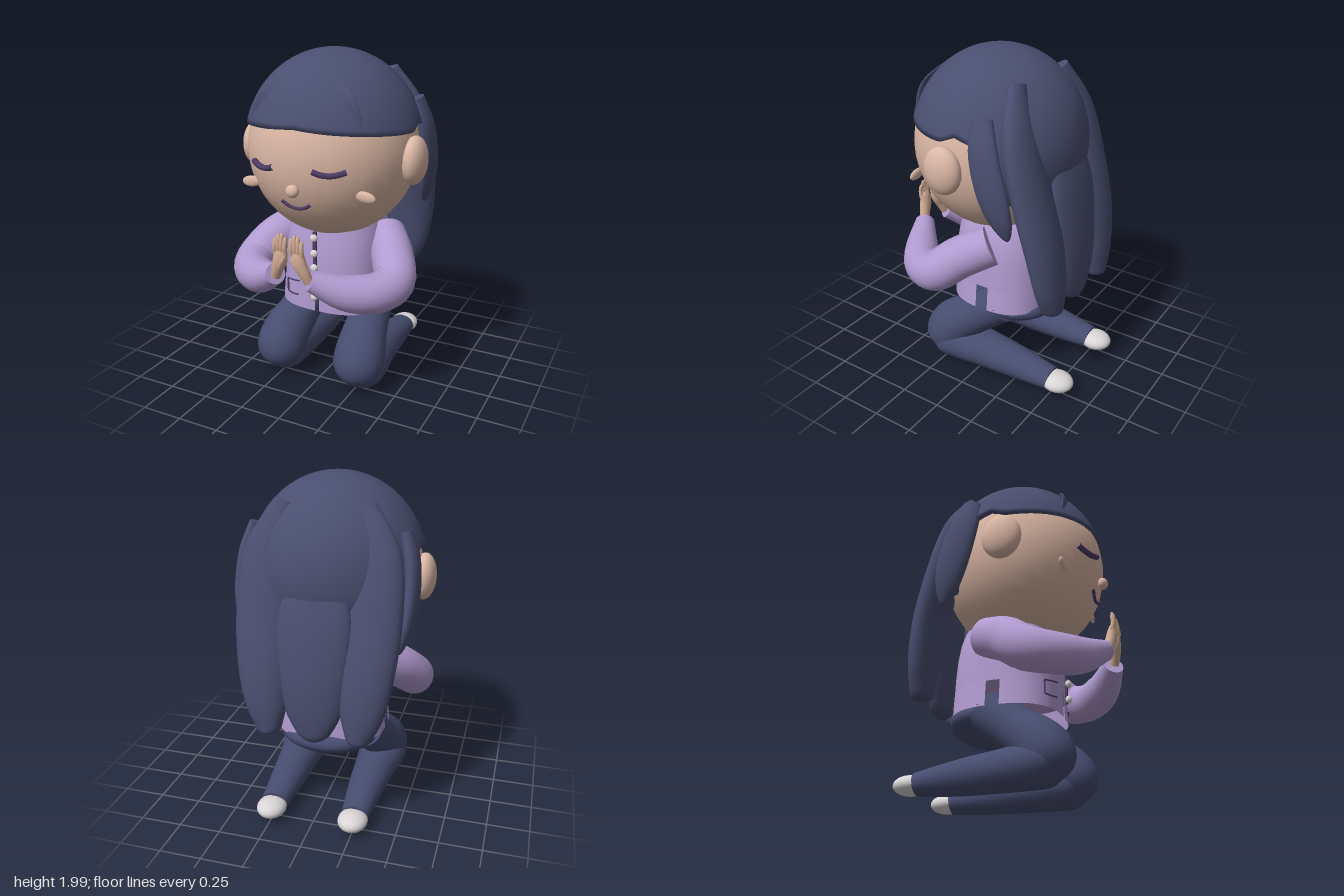
import * as THREE from 'three';

const mat = (name, color, side = THREE.FrontSide) => {
  const m = new THREE.MeshStandardMaterial({ color, side });
  m.name = name;
  return m;
};
const V = (x, y, z) => new THREE.Vector3(x, y, z);

// Skin a list of rings (arrays of Vector3, counter-clockwise about the path).
function skin(rings, { closed = true, capStart = false, capEnd = false } = {}) {
  const n = rings[0].length, pos = [], idx = [];
  rings.forEach(r => r.forEach(p => pos.push(p.x, p.y, p.z)));
  for (let i = 0; i < rings.length - 1; i++) {
    for (let k = 0; k < (closed ? n : n - 1); k++) {
      const a = i * n + k, b = i * n + (k + 1) % n;
      idx.push(a, b, a + n, b, b + n, a + n);
    }
  }
  const cap = (ring, flip) => {
    const base = pos.length / 3, c = V(0, 0, 0);
    ring.forEach(p => { pos.push(p.x, p.y, p.z); c.addScaledVector(p, 1 / n); });
    pos.push(c.x, c.y, c.z);
    for (let k = 0; k < n; k++) {
      const a = base + k, b = base + (k + 1) % n;
      idx.push(base + n, flip ? b : a, flip ? a : b);
    }
  };
  if (capStart) cap(rings[0], true);
  if (capEnd) cap(rings[rings.length - 1], false);
  const g = new THREE.BufferGeometry();
  g.setAttribute('position', new THREE.Float32BufferAttribute(pos, 3));
  g.setIndex(idx);
  g.computeVertexNormals();
  return g;
}

// Tapered limb: points [x, y, z], radii [side, up]; ends can be rounded off.
function limb(points, radii, { ref = V(1, 0, 0), start = 0, end = 0, steps = 32, sides = 24 } = {}) {
  const path = new THREE.CatmullRomCurve3(points.map(p => V(...p)));
  const size = new THREE.CatmullRomCurve3(radii.map((r, i) => V(r[0], r[1], i)));
  const rings = [];
  for (let i = 0; i <= steps; i++) {
    const t = (1 - Math.cos(Math.PI * i / steps)) / 2;
    const c = path.getPoint(t), r = size.getPoint(t), T = path.getTangent(t);
    const side = ref.clone().addScaledVector(T, -ref.dot(T)).normalize();
    const up = T.clone().cross(side);
    let k = 1;
    if (t < start) k = Math.sqrt(1 - (1 - t / start) ** 2);
    if (end && t > 1 - end) k = Math.sqrt(Math.max(0, 1 - ((t - 1 + end) / end) ** 2));
    k = Math.max(k, 0.01);
    rings.push(Array.from({ length: sides }, (_, j) => {
      const a = 2 * Math.PI * j / sides;
      return c.clone().addScaledVector(side, r.x * k * Math.cos(a)).addScaledVector(up, r.y * k * Math.sin(a));
    }));
  }
  return skin(rings, { capStart: true, capEnd: true });
}
const round = list => list.map(r => [r, r]);

export function createModel() {
  const model = new THREE.Group();
  const hair = mat('navy hair', 0x4a4f70), trousers = mat('navy trousers', 0x474d70);
  const skinTone = mat('skin', 0xdbb7a5), handTone = mat('hand skin', 0xd2ac94);
  const jacket = mat('lilac jacket', 0xb19bd0, THREE.DoubleSide);
  const dark = mat('dark purple', 0x4d3b66), pale = mat('pale grey', 0xd9d5d6);

  const add = (name, geo, material) => {
    const m = new THREE.Mesh(geo, material);
    m.name = name;
    model.add(m);
    return m;
  };
  const ball = (name, material, p, r) => {
    const m = add(name, new THREE.SphereGeometry(1, 32, 24), material);
    m.position.set(...p);
    m.scale.set(...r);
    return m;
  };
  const tube = (name, pts, r, material) =>
    add(name, new THREE.TubeGeometry(new THREE.CatmullRomCurve3(pts), 16, r, 8), material);

  // Head and face
  const headZ = (x, y) => 0.05 + 0.493 * Math.sqrt(1 - (x / 0.5) ** 2 - ((y - 1.44) / 0.522) ** 2);
  ball('head', skinTone, [0, 1.44, 0.05], [0.5, 0.522, 0.493]);
  ball('nose', skinTone, [0, 1.29, 0.545], [0.038, 0.036, 0.03]);
  const arc = (cx, half, yEnd, dip, lift) => [-1, -0.5, 0, 0.5, 1].map(u => {
    const x = cx + half * u, y = yEnd - dip * (1 - u * u);
    return V(x, y, headZ(x, y) + lift);
  });
  tube('mouth', arc(0, 0.09, 1.215, 0.036, 0.018), 0.0095, dark);

  // Hair cap with a wavy hairline, lower at the back
  const hairline = [[0, 1.62], [20, 1.605], [45, 1.59], [70, 1.575], [84, 1.57], [95, 1.61], [106, 1.58], [120, 1.3], [135, 1.2], [160, 1.25], [180, 1.3]];
  const lineY = deg => {
    const i = Math.max(1, hairline.findIndex(h => h[0] >= deg));
    const [a, b] = [hairline[i - 1], hairline[i]];
    return a[1] + (b[1] - a[1]) * (deg - a[0]) / (b[0] - a[0]);
  };
  const capRings = [];
  for (let j = 0; j <= 25; j++) {
    const ring = [], f = Math.max(0.002, Math.min(j, 24) / 24), k = j === 25 ? 0.93 : 1;
    for (let i = 0; i < 72; i++) {
      const deg = i * 5, a = deg * Math.PI / 180;
      const phi = f * Math.acos((lineY(Math.min(deg, 360 - deg)) - 1.45) / 0.55), s = Math.sin(phi) * k;
      ring.push(V(-0.522 * s * Math.sin(a), 1.45 + 0.55 * Math.cos(phi), 0.042 + 0.514 * s * Math.cos(a)));
    }
    capRings.push(ring);
  }
  add('hairCap', skin(capRings), hair);
  add('backHair', limb([[0, 1.5, -0.39], [0, 1.25, -0.445], [0, 0.95, -0.475], [0, 0.72, -0.48], [0, 0.54, -0.475]],
    [[0.16, 0.04], [0.21, 0.06], [0.2, 0.075], [0.16, 0.072], [0.07, 0.055]], { end: 0.09 }), hair);

  // Jacket: rounded-box cross-section, with split panels below the waist
  const jacketPoint = (a, y, rx, rz) => {
    const p = v => Math.sign(v) * Math.abs(v) ** 0.77;
    return V(rx * p(Math.sin(a)), y, -0.035 + rz * p(Math.cos(a)));
  };
  const jacketRing = (from, to, n, [y, rx, rz]) => Array.from({ length: n }, (_, i) =>
    jacketPoint((from + (to - from) * i / (n - 1)) * Math.PI / 180, y, rx, rz));
  add('jacketBody', skin([[0.62, 0.32, 0.312], [0.72, 0.315, 0.308], [0.82, 0.308, 0.3], [0.92, 0.29, 0.285], [1.0, 0.255, 0.265]]
    .map(r => jacketRing(0, 355, 72, r)), { capStart: true, capEnd: true }), jacket);
  for (const [name, from, to] of [['frontPanelLeft', 1, 86], ['frontPanelRight', -86, -1], ['backPanel', 94, 266]])
    add(name, skin([[0.47, 0.335, 0.316], [0.55, 0.327, 0.315], [0.62, 0.32, 0.312]]
      .map(r => jacketRing(from, to, 40, r)), { closed: false }), jacket);

  // Placket and buttons
  const placket = add('placket', new THREE.BoxGeometry(0.022, 0.43, 0.012), dark);
  placket.position.set(0, 0.765, 0.299);
  for (const y of [0.945, 0.85, 0.76, 0.67, 0.575]) ball('button', pale, [0, y, 0.311], [0.023, 0.023, 0.018]);

  ball('hips', trousers, [0, 0.455, -0.15], [0.3, 0.108, 0.24]);

  for (const s of [1, -1]) {
    const side = s > 0 ? 'left' : 'right';
    const mir = pts => pts.map(([x, y, z]) => [x * s, y, z]);

    // Face details
    ball(side + 'Ear', skinTone, [0.51 * s, 1.41, 0.075], [0.07, 0.138, 0.118]);
    ball(side + 'Cheek', skinTone, [0.355 * s, 1.262, 0.39], [0.062, 0.032, 0.016]).rotation.z = -0.12 * s;
    tube(side + 'Eye', arc(0.2 * s, 0.083, 1.41, 0.02, 0.012), 0.017, dark);

    // Hair locks: fringe, behind the ear, and long back lock
    const capZ = (x, y) => 0.042 + 0.514 * Math.sqrt(1 - (x / 0.522) ** 2 - ((y - 1.45) / 0.55) ** 2);
    const fringe = [[0.12, 1.88], [0.23, 1.77], [0.335, 1.63]].map(([x, y]) => [x, y, capZ(x, y) - 0.008]);
    add(side + 'Fringe', limb(mir(fringe), [[0.03, 0.01], [0.055, 0.013], [0.02, 0.01]], { start: 0.3, end: 0.3 }), hair);
    add(side + 'EarLock', limb(mir([[0.435, 1.72, -0.14], [0.48, 1.55, -0.17], [0.485, 1.3, -0.235], [0.445, 1.06, -0.3]]),
      [[0.06, 0.035], [0.09, 0.045], [0.095, 0.045], [0.05, 0.03]], { ref: V(0, 0, 1), end: 0.2 }), hair);
    add(side + 'BackLock', limb(
      mir([[0.225, 1.865, -0.215], [0.31, 1.6, -0.29], [0.315, 1.3, -0.37], [0.3, 1.0, -0.445], [0.28, 0.75, -0.48], [0.26, 0.565, -0.485]]),
      [[0.06, 0.04], [0.135, 0.075], [0.16, 0.085], [0.155, 0.085], [0.125, 0.078], [0.06, 0.065]], { end: 0.035 }), hair);

    // Sleeve
    add(side + 'Sleeve', limb(
      mir([[0.285, 0.895, -0.08], [0.39, 0.82, 0.07], [0.455, 0.72, 0.2], [0.41, 0.695, 0.33], [0.28, 0.715, 0.45], [0.11, 0.8, 0.56]]),
      round([0.118, 0.125, 0.122, 0.115, 0.103, 0.06]), { ref: V(0, 1, 0) }), jacket);

    // Hand: wrist and palm, four fingers and a thumb
    add(side + 'Palm', limb(mir([[0.105, 0.79, 0.565], [0.082, 0.85, 0.58], [0.058, 0.91, 0.59], [0.052, 0.98, 0.598]]),
      [[0.028, 0.026], [0.036, 0.03], [0.043, 0.03], [0.036, 0.016]], { end: 0.15, sides: 16 }), handTone);
    [1.035, 1.06, 1.065, 1.045].forEach((top, i) => {
      const x = 0.085 - i * 0.021;
      add(side + 'Finger', limb(mir([[x, 0.94, 0.597], [x - 0.002, (top + 0.94) / 2, 0.607], [x - 0.004, top, 0.598]]),
        round([0.013, 0.0125, 0.011]), { end: 0.15, steps: 12, sides: 10 }), handTone);
    });
    add(side + 'Thumb', limb(mir([[0.06, 0.87, 0.6], [0.035, 0.91, 0.605], [0.022, 0.95, 0.6]]),
      round([0.016, 0.015, 0.011]), { end: 0.2, steps: 12, sides: 10 }), handTone);

    // Pocket outline
    const pocket = [[0.115, 0.642], [0.165, 0.634], [0.222, 0.626], [0.222, 0.545], [0.175, 0.543], [0.125, 0.55]].map(([x, y]) =>
      V(x * s, y, -0.035 + 0.314 * (1 - (x / 0.324) ** 2.6) ** (1 / 2.6) + 0.006));
    const outline = new THREE.CurvePath();
    for (let i = 0; i < 5; i++) outline.add(new THREE.LineCurve3(pocket[i], pocket[i + 1]));
    add(side + 'Pocket', new THREE.TubeGeometry(outline, 60, 0.005, 6), dark);

    // Folded leg and shoe
    add(side + 'Thigh', limb(mir([[0.205, 0.475, -0.11], [0.235, 0.345, 0.075], [0.262, 0.215, 0.235], [0.265, 0.04, 0.295]]),
      round([0.125, 0.13, 0.153, 0.15]), { end: 0.28 }), trousers);
    add(side + 'Shin', limb(mir([[0.265, 0.15, 0.35], [0.265, 0.138, 0.22], [0.255, 0.122, 0], [0.25, 0.106, -0.25], [0.25, 0.088, -0.49]]),
      [[0.13, 0.12], [0.152, 0.128], [0.128, 0.115], [0.105, 0.097], [0.08, 0.066]], { start: 0.22 }), trousers);
    ball(side + 'Shoe', pale, [0.25 * s, 0.085, -0.53], [0.088, 0.056, 0.1]);
  }
  return model;
}
